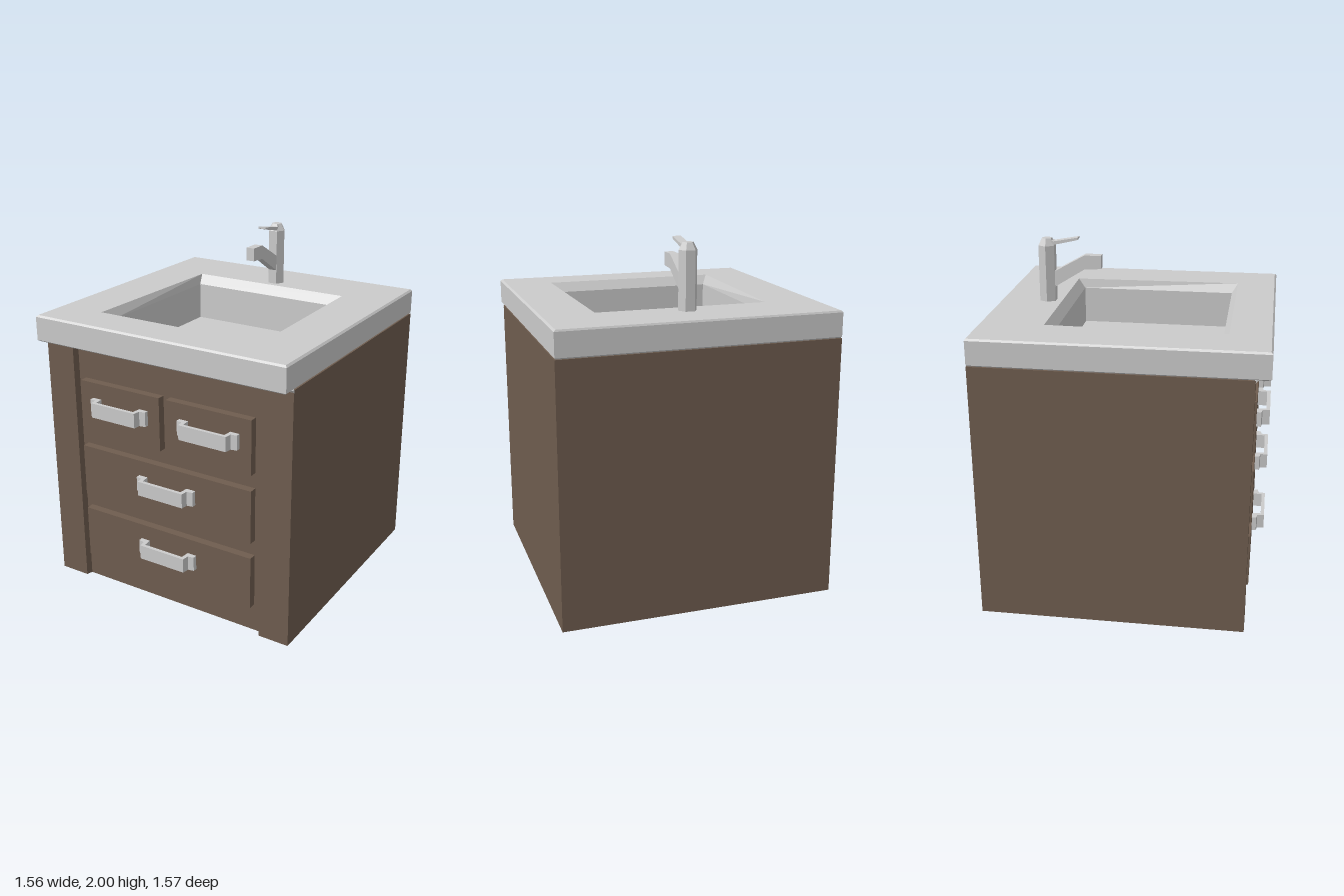
import * as THREE from 'three';

const grey = new THREE.MeshStandardMaterial({ color: 0xcccccc, flatShading: true });
const brown = new THREE.MeshStandardMaterial({ color: 0x6f5d4f, flatShading: true });

function polygon(points, PathType = THREE.Shape) {
  return new PathType(points.map(([a, b]) => new THREE.Vector2(a, b)));
}

// Extrude an (x, z) outline upwards from y0 to y1
function extrudePlan(outline, y0, y1, hole) {
  const shape = polygon(outline.map(([x, z]) => [x, -z]));
  if (hole) shape.holes.push(polygon(hole.map(([x, z]) => [x, -z]), THREE.Path));
  const geo = new THREE.ExtrudeGeometry(shape, { depth: y1 - y0, bevelEnabled: false });
  return geo.rotateX(-Math.PI / 2).translate(0, y0, 0);
}

// Extrude a (z, y) outline across x, centred on x = 0
function extrudeSide(outline, width) {
  const geo = new THREE.ExtrudeGeometry(polygon(outline), { depth: width, bevelEnabled: false });
  return geo.translate(0, 0, -width / 2).rotateY(-Math.PI / 2);
}

// Skin a sequence of four-cornered rings: [y, half width at back, half width at front, z back, z front]
function loftRings(rings) {
  const pos = [];
  const corners = rings.map(([y, wb, wf, zb, zf]) => [[-wf, y, zf], [wf, y, zf], [wb, y, zb], [-wb, y, zb]]);
  for (let r = 0; r < corners.length - 1; r++) {
    for (let i = 0; i < 4; i++) {
      const j = (i + 1) % 4;
      const [a, b, c, d] = [corners[r][i], corners[r][j], corners[r + 1][j], corners[r + 1][i]];
      pos.push(...a, ...b, ...c, ...a, ...c, ...d);
    }
  }
  const [a, b, c, d] = corners[corners.length - 1];
  pos.push(...a, ...b, ...c, ...a, ...c, ...d);
  const geo = new THREE.BufferGeometry();
  geo.setAttribute('position', new THREE.Float32BufferAttribute(pos, 3));
  geo.computeVertexNormals();
  return geo;
}

export function createModel() {
  const model = new THREE.Group();
  model.name = 'vanityCabinet';
  const add = (name, geo, mat, parent = model) => {
    const mesh = new THREE.Mesh(geo, mat);
    mesh.name = name;
    parent.add(mesh);
    return mesh;
  };

  // Cabinet carcass: front posts with a recessed panel, hollow for the basin
  add('cabinet', extrudePlan(
    [[-0.78, -0.78], [0.78, -0.78], [0.78, 0.705], [0.6, 0.705], [0.59, 0.67],
      [-0.59, 0.67], [-0.6, 0.705], [-0.78, 0.705]],
    0, 1.48,
    [[-0.58, -0.6], [0.58, -0.6], [0.58, 0.6], [-0.58, 0.6]]), brown);
  add('cabinetFloor', new THREE.BoxGeometry(1.16, 0.03, 1.2).translate(0, 0.015, 0), brown);

  // Countertop with sunken basin
  add('countertopBasin', loftRings([
    [1.48, 0.56, 0.56, -0.58, 0.58],
    [1.48, 0.77, 0.77, -0.77, 0.775],
    [1.488, 0.78, 0.78, -0.78, 0.785],
    [1.62, 0.78, 0.78, -0.78, 0.785],
    [1.63, 0.77, 0.77, -0.775, 0.775],
    [1.63, 0.485, 0.507, -0.43, 0.555],
    [1.575, 0.475, 0.475, -0.39, 0.52],
    [1.36, 0.475, 0.475, -0.39, 0.52],
  ]), grey);
  // Fillet strip under the front overhang
  add('overhangFillet', extrudeSide(
    [[0.7, 1.46], [0.708, 1.472], [0.72, 1.482], [0.7, 1.482]], 1.56), grey);

  // Drawers: x min, x max, y min, y max, handle x
  const drawers = [
    [-0.545, -0.02, 0.965, 1.275, -0.28],
    [0.025, 0.55, 0.965, 1.275, 0.295],
    [-0.555, 0.55, 0.565, 0.875, 0.018],
    [-0.555, 0.55, 0.165, 0.475, 0.018],
  ];
  // Bracket handle outline seen from above
  const half = [[0.145, 0.785], [0.15, 0.745], [0.185, 0.74], [0.185, 0.71], [0.13, 0.71], [0.125, 0.765]];
  const bracket = [...half, ...half.map(([x, z]) => [-x, z]).reverse()];
  for (const [x0, x1, y0, y1, hx] of drawers) {
    const drawer = new THREE.Group();
    drawer.name = 'drawer';
    add('drawerFront', new THREE.BoxGeometry(x1 - x0, y1 - y0, 0.055)
      .translate((x0 + x1) / 2, (y0 + y1) / 2, 0.6875), brown, drawer);
    const handle = add('drawerHandle', extrudePlan(bracket, -0.042, 0.042), grey, drawer);
    handle.position.set(hx, (y0 + y1) / 2 + 0.023, 0);
    model.add(drawer);
  }

  // Faucet: hexagonal column, angled spout and lever
  const faucet = new THREE.Group();
  faucet.name = 'faucet';
  const hex = (top, bottom, y0, y1) => new THREE.CylinderGeometry(top, bottom, y1 - y0, 6)
    .rotateY(Math.PI / 6).translate(0, (y0 + y1) / 2, -0.512);
  add('faucetColumn', hex(0.052, 0.052, 1.62, 1.95), grey, faucet);
  add('faucetCap', hex(0.03, 0.052, 1.95, 1.99), grey, faucet);
  add('faucetSpout', extrudeSide(
    [[-0.2, 1.9], [-0.295, 1.9], [-0.465, 1.805], [-0.5, 1.79], [-0.5, 1.69],
      [-0.465, 1.715], [-0.295, 1.82], [-0.2, 1.825]], 0.05), grey, faucet);
  add('faucetLever', extrudeSide(
    [[-0.33, 2.0], [-0.47, 1.975], [-0.52, 1.988], [-0.52, 1.95], [-0.47, 1.955], [-0.35, 1.982], [-0.33, 1.988]],
    0.048), grey, faucet);
  model.add(faucet);

  return model;
}
